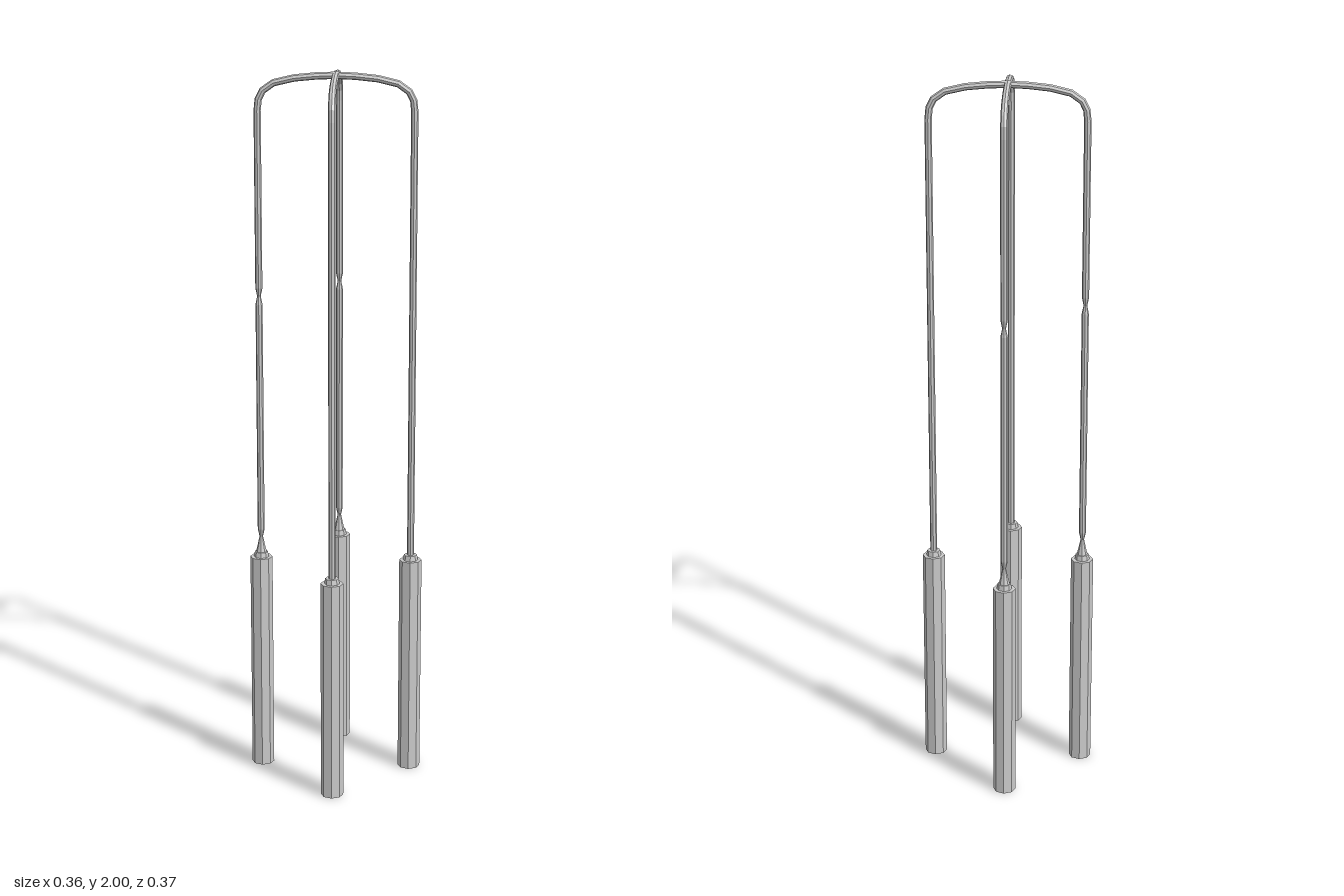
import * as THREE from 'three';

const X = 0.148, Z = 0.151, SIDES = 8, R = 0.0098;
const material = new THREE.MeshStandardMaterial({ color: 0xcccccc, flatShading: true, side: THREE.DoubleSide });

// Sweep an octagonal ring along points [s, y, radius] in the vertical plane through dir
function sweep(points, dir) {
  const side = new THREE.Vector3(-dir.z, 0, dir.x).normalize();
  const centres = points.map(([s, y]) => dir.clone().multiplyScalar(s).setY(y));
  const pos = [], index = [];
  centres.forEach((c, i) => {
    const before = centres[Math.max(i - 1, 0)];
    const after = centres[Math.min(i + 1, centres.length - 1)];
    const tangent = after.clone().sub(before).normalize();
    const normal = new THREE.Vector3().crossVectors(side, tangent);
    for (let j = 0; j < SIDES; j++) {
      const a = (j / SIDES) * Math.PI * 2;
      const p = c.clone()
        .addScaledVector(side, Math.cos(a) * points[i][2])
        .addScaledVector(normal, Math.sin(a) * points[i][2]);
      pos.push(p.x, p.y, p.z);
      if (i > 0) {
        const k = (j + 1) % SIDES, m = (i - 1) * SIDES, n = i * SIDES;
        index.push(m + j, n + k, n + j, m + j, m + k, n + k);
      }
    }
  });
  const g = new THREE.BufferGeometry();
  g.setAttribute('position', new THREE.Float32BufferAttribute(pos, 3));
  g.setIndex(index.map((_, i) => index[i - (i % 3) + [0, 2, 1][i % 3]]));
  g.computeVertexNormals();
  return g;
}

// One rod: back leg with pinched joints, rounded arch, plain front leg
function rodPoints() {
  const bend = [[1, 1.895], [0.985, 1.925], [0.93, 1.948], [0.79, 1.969], [0.53, 1.982], [0.25, 1.988]];
  const back = [
    [0.64, 0.0165], [0.662, 0.011], [0.69, 0.005], [0.712, R],
    [1.362, R], [1.385, 0.005], [1.408, R],
  ].map(([y, r]) => [-1, y, r]);
  return [
    ...back,
    ...bend.map(([s, y]) => [-s, y, R]),
    [0, 1.99, R],
    ...bend.slice().reverse().map(([s, y]) => [s, y, R]),
    [1, 0.63, R],
  ];
}

export function createModel() {
  const model = new THREE.Group();
  const add = (geometry, name, x = 0, y = 0, z = 0) => {
    const mesh = new THREE.Mesh(geometry, material);
    mesh.name = name;
    mesh.position.set(x, y, z);
    model.add(mesh);
  };

  // Two crossing U-shaped rods
  for (const sx of [-1, 1]) {
    add(sweep(rodPoints(), new THREE.Vector3(sx * X, 0, Z)), sx < 0 ? 'rightRod' : 'leftRod');
  }

  // Octagonal weights with a collar where each rod enters
  const weight = new THREE.CylinderGeometry(0.0315, 0.0315, 0.63, SIDES);
  const collar = new THREE.CylinderGeometry(0.0185, 0.021, 0.015, SIDES);
  for (const sx of [-1, 1]) {
    for (const sz of [-1, 1]) {
      const place = (sz > 0 ? 'front' : 'back') + (sx > 0 ? 'Left' : 'Right');
      add(weight, place + 'Weight', sx * X, 0.315, sz * Z);
      add(collar, place + 'Collar', sx * X, 0.6375, sz * Z);
    }
  }
  return model;
}
